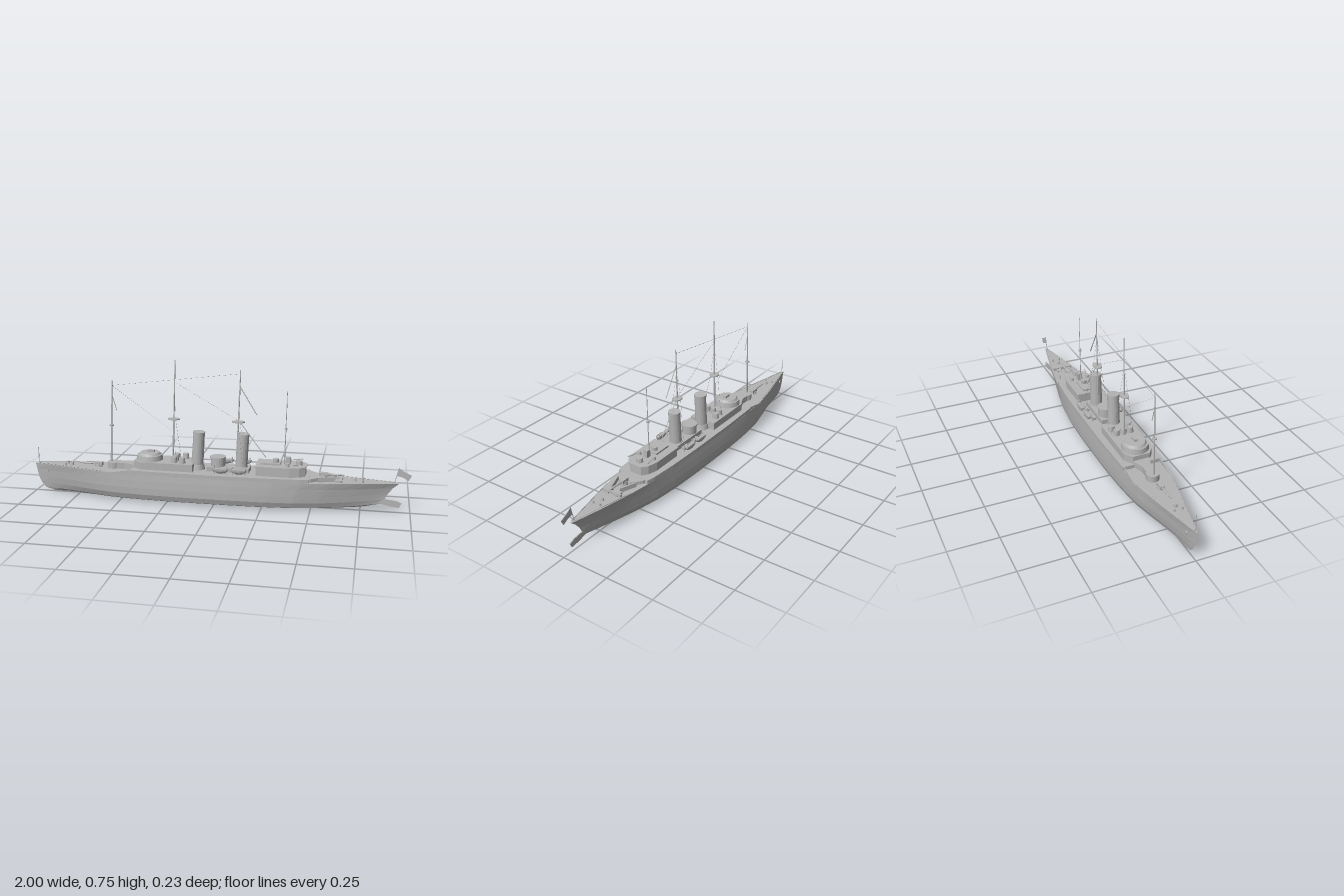
import * as THREE from 'three';

const grey = new THREE.MeshStandardMaterial({ color: 0xb4b4b4, flatShading: true, side: THREE.DoubleSide });
grey.name = 'ship grey';

// Linear lookup in a list of [x, value] pairs
function lookup(table, x) {
  for (let i = 1; i < table.length; i++) {
    const [x0, v0] = table[i - 1], [x1, v1] = table[i];
    if (x <= x1) return v0 + (v1 - v0) * Math.max(0, (x - x0) / (x1 - x0));
  }
  return table[table.length - 1][1];
}

// Half width of the deck along the ship (bow at -x)
const BEAM = [[-1, 0.001], [-0.9, 0.025], [-0.8, 0.047], [-0.7, 0.07], [-0.57, 0.093], [-0.4, 0.105],
  [-0.2, 0.11], [0.1, 0.11], [0.3, 0.106], [0.45, 0.096], [0.6, 0.075], [0.75, 0.047], [0.85, 0.026], [0.94, 0.004]];

function hullGeometry() {
  // Waterlines: height, bow x, stern x, width factor, fineness of the ends
  const levels = [[0.154, -1, 0.94, 1, 1], [0.12, -0.993, 0.91, 1.02, 1.15], [0.08, -0.985, 0.885, 1.03, 1.25],
    [0.045, -0.97, 0.87, 1.02, 1.35], [0.018, -0.945, 0.85, 0.93, 1.45], [0.009, -0.91, 0.78, 0.75, 1.5]];
  const n = 28, pos = [], idx = [], ring = levels.length * 2 + 1;
  for (let i = 0; i <= n; i++) {
    const s = i / n, half = lookup(BEAM, -1 + 1.94 * s);
    const point = ([y, bow, stern, width, power], side) => {
      const x = bow + (stern - bow) * s;
      const rise = 0.035 * Math.max(0, (x - 0.5) / 0.4) ** 2 * (1 - y / 0.154);
      const z = 0.11 * width * Math.pow(half / 0.11, power);
      pos.push(x, y + rise, side * z);
    };
    levels.forEach(l => point(l, 1));
    point([0.004, -0.9, 0.76, 0, 1], 0);
    [...levels].reverse().forEach(l => point(l, -1));
  }
  for (let i = 0; i < n; i++) for (let j = 0; j < ring; j++) {
    const k = (j + 1) % ring, a = i * ring + j, c = i * ring + k;
    idx.push(a, c, a + ring, c, c + ring, a + ring);
  }
  const g = new THREE.BufferGeometry();
  g.setAttribute('position', new THREE.Float32BufferAttribute(pos, 3));
  g.setIndex(idx);
  g.computeVertexNormals();
  return g;
}

// Flat outline of [x, half width] points, mirrored in z and raised from y0 to y1
function slabGeometry(points, y0, y1) {
  const outline = [...points, ...[...points].reverse().map(([x, z]) => [x, -z])];
  const shape = new THREE.Shape(outline.map(([x, z]) => new THREE.Vector2(x, z)));
  return new THREE.ExtrudeGeometry(shape, { depth: y1 - y0, bevelEnabled: false }).rotateX(-Math.PI / 2).translate(0, y0, 0);
}

export function createModel() {
  const ship = new THREE.Group();
  ship.name = 'warship';
  const add = (name, geometry) => {
    const m = new THREE.Mesh(geometry, grey);
    m.name = name;
    ship.add(m);
    return m;
  };
  const box = (name, x0, x1, y0, y1, z0, z1) => add(name, new THREE.BoxGeometry(x1 - x0, y1 - y0, z1 - z0)
    .translate((x0 + x1) / 2, (y0 + y1) / 2, (z0 + z1) / 2));
  const drum = (name, x, z, y0, y1, r, rTop = r, sides = 20) =>
    add(name, new THREE.CylinderGeometry(rTop, r, y1 - y0, sides).translate(x, (y0 + y1) / 2, z));
  const rod = (name, a, b, r0, r1 = r0, sides = 6) => {
    const p = new THREE.Vector3(...a), d = new THREE.Vector3(...b).sub(p);
    const m = add(name, new THREE.CylinderGeometry(r1, r0, d.length(), sides));
    m.position.copy(p).addScaledVector(d, 0.5);
    m.quaternion.setFromUnitVectors(new THREE.Vector3(0, 1, 0), d.normalize());
  };

  // Hull, raised middle deck and keel
  add('hull', hullGeometry());
  const middle = [[-0.57, 0.093], [-0.44, 0.103], [-0.2, 0.11], [0.1, 0.11], [0.3, 0.106], [0.45, 0.096], [0.49, 0.088]];
  add('middleDeck', slabGeometry(middle.slice(1), 0.15, 0.173));
  box('keel', -0.5, 0.3, 0, 0.008, -0.003, 0.003);
  for (const s of [1, -1]) {
    const bulwark = new THREE.Shape([[-0.57, 0.15], [-0.44, 0.15], [-0.44, 0.173]].map(p => new THREE.Vector2(...p)));
    add('bulwark', new THREE.ExtrudeGeometry(bulwark, { depth: 0.004, bevelEnabled: false }))
      .position.set(0, 0, s * 0.096 - 0.002);
    drum('anchor', -0.93, 0, -0.003, 0.003, 0.009, 0.009, 10).rotation.x = Math.PI / 2;
    ship.children[ship.children.length - 1].position.set(0, 0.115, s * 0.018);
    rod('deckEdgeRail', [-0.98, 0.158, s * 0.005], [-0.6, 0.158, s * 0.086], 0.002);
    rod('deckEdgeRail', [0.93, 0.158, s * 0.005], [0.6, 0.158, s * 0.073], 0.002);
  }

  // Forward deckhouses
  drum('foreBarbette', -0.555, 0, 0.15, 0.187, 0.033);
  add('foreDeckhouse', slabGeometry([[-0.56, 0.026], [-0.49, 0.022], [-0.43, 0.045], [-0.4, 0.06]], 0.15, 0.187));
  add('mainDeckhouse', slabGeometry([[-0.43, 0.045], [-0.39, 0.075], [-0.11, 0.075]], 0.17, 0.212));
  drum('roundhouse', -0.355, 0, 0.21, 0.238, 0.07, 0.066, 28);
  drum('roundhouseRoof', -0.355, 0, 0.238, 0.25, 0.058, 0.05, 28);
  box('roundhouseSight', -0.365, -0.33, 0.25, 0.262, -0.008, 0.008);
  for (const [x, z] of [[-0.215, 0.038], [-0.215, -0.038], [-0.17, 0.045], [-0.17, -0.045], [-0.215, 0]])
    drum('ventilator', x, z, 0.21, 0.24, 0.018, 0.015, 12);

  // Funnels, raked aft, with collars
  for (const [x, top] of [[-0.1, 0.37], [0.133, 0.37]]) {
    const wide = 0.03;
    rod('funnel', [x, 0.17, 0], [x + 0.012, top, 0], wide + 0.002, wide, 20);
    rod('funnelCollar', [x + 0.011, top - 0.012, 0], [x + 0.012, top + 0.004, 0], wide + 0.002, wide + 0.002, 20);
    drum('funnelBase', x, 0, 0.17, 0.2, 0.042, 0.036);
  }

  // Midship house and bridge drum
  box('midshipHouse', -0.04, 0.18, 0.17, 0.197, -0.042, 0.042);
  drum('midshipDrum', 0.012, 0, 0.197, 0.24, 0.038);
  drum('midshipDrumRim', 0.012, 0, 0.238, 0.246, 0.042);
  for (const s of [1, -1]) for (const x of [0.04, 0.135]) {
    // Boats carried in davits
    const boat = add('boat', new THREE.SphereGeometry(1, 10, 6, 0, Math.PI * 2, Math.PI / 2, Math.PI / 2));
    boat.scale.set(0.042, 0.024, 0.014);
    boat.position.set(x, 0.206, s * 0.092);
    box('boatCover', x - 0.034, x + 0.034, 0.2, 0.207, s * 0.092 - 0.009, s * 0.092 + 0.009);
    for (const e of [-0.032, 0.032]) {
      rod('davit', [x + e, 0.17, s * 0.076], [x + e, 0.222, s * 0.08], 0.002);
      rod('davitArm', [x + e, 0.222, s * 0.08], [x + e, 0.212, s * 0.097], 0.002);
    }
    box('deckLocker', x - 0.025, x + 0.02, 0.17, 0.187, s * 0.06 - 0.01, s * 0.06 + 0.01);
  }

  // After deckhouse with fittings
  add('afterDeckhouse', slabGeometry([[0.22, 0.07], [0.39, 0.07], [0.44, 0.058], [0.47, 0.035]], 0.17, 0.218));
  add('afterDeckhouseRoof', slabGeometry([[0.215, 0.075], [0.39, 0.075], [0.445, 0.062], [0.475, 0.037]], 0.216, 0.223));
  add('afterPlatform', slabGeometry([[0.44, 0.09], [0.5, 0.07], [0.55, 0.03]], 0.15, 0.172));
  box('skylight', 0.24, 0.34, 0.22, 0.232, -0.032, 0.032);
  drum('afterDrum', 0.315, 0, 0.232, 0.25, 0.016, 0.016, 12);
  drum('afterDrum', 0.435, 0, 0.22, 0.245, 0.018, 0.016, 12);
  box('searchlight', 0.365, 0.39, 0.22, 0.262, -0.012, 0.012);
  for (const s of [1, -1]) {
    drum('afterVentilator', 0.38, s * 0.045, 0.22, 0.24, 0.011, 0.009, 10);
    rod('afterSideGun', [0.4, 0.235, s * 0.05], [0.45, 0.238, s * 0.06], 0.003);
  }

  // Guns on the bow and stern decks
  for (const [x, dir, y] of [[-0.64, -1, 0.168], [0.56, 1, 0.18]]) {
    drum('gunMount', x, 0, 0.15, y, 0.02, 0.016, 12);
    box('gunBreech', x - 0.022, x + 0.022, y - 0.007, y + 0.01, -0.012, 0.012);
    rod('gunBarrel', [x, y + 0.002, 0], [x + dir * 0.105, y + 0.002, 0], 0.006, 0.004, 8);
  }
  for (const s of [1, -1]) {
    const shield = box('gunShield', -0.045, 0.045, -0.012, 0.012, -0.004, 0.004);
    shield.position.set(0.58, 0.165, s * 0.04);
    shield.rotation.y = s * 0.35;
    box('sternHatch', 0.62, 0.66, 0.15, 0.162, s * 0.028 - 0.012, s * 0.028 + 0.012);
    for (const x of [-0.82, 0.76]) drum('bollard', x, s * 0.02, 0.15, 0.168, 0.005, 0.005, 8);
  }
  box('breakwater', 0.645, 0.655, 0.15, 0.168, -0.055, 0.055);
  drum('capstan', -0.79, 0, 0.15, 0.168, 0.01, 0.008, 10);
  drum('capstan', 0.72, 0, 0.15, 0.168, 0.009, 0.007, 10);

  // Masts: base x, top x, base y, top y, platform y, platform radius
  const masts = [[-0.57, -0.552, 0.15, 0.625, 0.385, 0.012], [-0.23, -0.212, 0.2, 0.745, 0.435, 0.032],
    [0.108, 0.128, 0.17, 0.705, 0.435, 0.034], [0.358, 0.367, 0.2, 0.605, 0.41, 0.008]];
  masts.forEach(([x0, x1, y0, y1, yp, r], i) => {
    const thick = i === 3 ? 0.003 : 0.005;
    rod('mast', [x0, y0, 0], [x1, y1, 0], thick, thick * 0.5, 8);
    const xp = x0 + (x1 - x0) * (yp - y0) / (y1 - y0);
    drum('mastPlatform', xp, 0, yp - 0.003, yp + 0.003, r, r, 12).scale.z = i === 1 || i === 2 ? 0.7 : 1;
  });
  rod('gaff', [0.125, 0.62, 0], [0.213, 0.475, 0], 0.0025);
  rod('foreGaff', [-0.555, 0.55, 0], [-0.53, 0.465, 0], 0.002);
  rod('derrick', [0.125, 0.435, 0], [0.265, 0.25, 0], 0.002);

  // Rigging wires
  const wire = (a, b) => rod('rigging', a, b, 0.0007, 0.0007, 3);
  wire([-0.553, 0.6, 0], [0.127, 0.685, 0]);
  wire([-0.215, 0.63, 0], [0.12, 0.44, 0]);
  wire([-0.553, 0.6, 0], [-0.23, 0.37, 0]);
  for (const s of [1, -1]) {
    for (const x of [-0.218, 0.12]) wire([x, 0.6, 0], [x, 0.435, s * 0.022]);
    wire([0.12, 0.435, s * 0.022], [0.15, 0.22, s * 0.06]);
    wire([-0.22, 0.435, s * 0.022], [-0.2, 0.212, s * 0.06]);
  }

  // Bow staff, stern flag and rudder
  rod('bowStaff', [-0.98, 0.15, 0], [-0.98, 0.243, 0], 0.002);
  rod('flagStaff', [0.915, 0.15, 0], [0.935, 0.235, 0], 0.002);
  const plate = (name, pts, t) => add(name, new THREE.ExtrudeGeometry(
    new THREE.Shape(pts.map(p => new THREE.Vector2(...p))), { depth: t, bevelEnabled: false }).translate(0, 0, -t / 2));
  plate('flag', [[0.925, 0.195], [0.96, 0.185], [0.985, 0.17], [1, 0.198], [0.965, 0.215], [0.935, 0.234]], 0.003);
  plate('rudder', [[0.84, 0.045], [0.9, 0.03], [0.945, 0.025], [0.955, 0.05], [0.93, 0.06], [0.865, 0.068]], 0.006);
  return ship;
}
